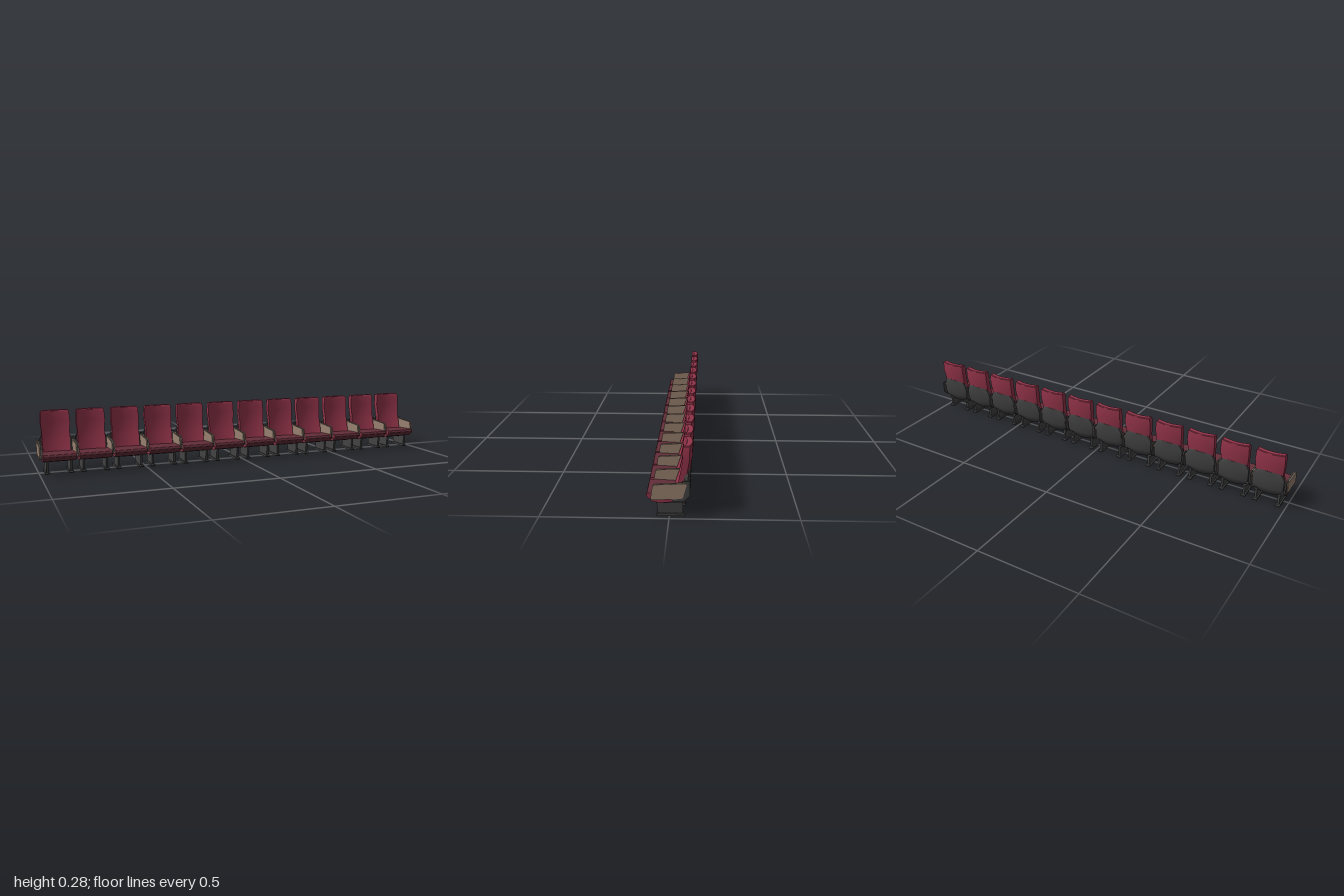
import * as THREE from 'three';
import { toCreasedNormals } from 'three/addons/utils/BufferGeometryUtils.js';

const SEATS = 12, PITCH = 0.1655;

const mat = (name, color, extra = {}) => {
  const m = new THREE.MeshStandardMaterial({ color, ...extra });
  m.name = name;
  return m;
};

// Side profile of [z, y] points, rounded by r, extruded along x about x = 0
function sideExtrude(points, width, r = 0) {
  const pts = points.map(p => new THREE.Vector2(...p));
  const shape = new THREE.Shape();
  pts.forEach((p, i) => {
    const prev = pts[(i + pts.length - 1) % pts.length], next = pts[(i + 1) % pts.length];
    const a = p.clone().add(prev.clone().sub(p).setLength(r));
    const b = p.clone().add(next.clone().sub(p).setLength(r));
    if (i === 0) shape.moveTo(a.x, a.y); else shape.lineTo(a.x, a.y);
    if (r > 0) shape.quadraticCurveTo(p.x, p.y, b.x, b.y);
  });
  shape.closePath();
  const g = new THREE.ExtrudeGeometry(shape, { depth: width, bevelEnabled: false, curveSegments: 4 });
  g.translate(0, 0, -width / 2);
  g.rotateY(-Math.PI / 2);
  return g;
}

// Bowed slab from rows of [y, halfWidth, frontZ, backZ] at the edges; middle bows to -z
function bowedSlab(rows, bow, n = 8) {
  const pos = [], idx = [], ring = 2 * (n + 1);
  rows.forEach(([y, w, zf, zb]) => {
    for (let i = 0; i < ring; i++) {
      const front = i <= n;
      const t = front ? -1 + 2 * i / n : 1 - 2 * (i - n - 1) / n;
      pos.push(t * w, y, (front ? zf : zb) - bow * (1 - t * t));
    }
  });
  for (let k = 0; k < rows.length - 1; k++) {
    for (let i = 0; i < ring; i++) {
      const j = (i + 1) % ring, a = k * ring + i, b = k * ring + j;
      idx.push(a, b, b + ring, a, b + ring, a + ring);
    }
  }
  // bottom and top caps
  const top = (rows.length - 1) * ring;
  for (let i = 0; i < n; i++) {
    const f0 = i, f1 = i + 1, b0 = ring - 1 - i, b1 = ring - 2 - i;
    idx.push(f0, b0, b1, f0, b1, f1);
    idx.push(top + f0, top + f1, top + b1, top + f0, top + b1, top + b0);
  }
  const g = new THREE.BufferGeometry();
  g.setAttribute('position', new THREE.Float32BufferAttribute(pos, 3));
  g.setIndex(idx);
  return toCreasedNormals(g, 0.5);
}

export function createModel() {
  const red = mat('red upholstery', 0x94344a);
  const darkRed = mat('dark red cushion', 0x632e39);
  const grey = mat('charcoal plastic', 0x424242);
  const tan = mat('tan wood', 0x98806f);

  const geo = {
    backrest: bowedSlab([
      [0.085, 0.062, -0.015, -0.050],
      [0.140, 0.066, -0.034, -0.062],
      [0.175, 0.064, -0.042, -0.068],
      [0.228, 0.068, -0.051, -0.077],
      [0.270, 0.066, -0.051, -0.078],
      [0.279, 0.064, -0.053, -0.078],
      [0.282, 0.060, -0.056, -0.076],
    ], 0.012),
    shell: bowedSlab([
      [0.055, 0.045, -0.035, -0.047],
      [0.075, 0.066, -0.040, -0.061],
      [0.095, 0.073, -0.046, -0.070],
      [0.150, 0.073, -0.056, -0.072],
      [0.172, 0.062, -0.060, -0.073],
      [0.185, 0.046, -0.064, -0.073],
    ], 0.010),
    cushion: sideExtrude([
      [0.089, 0.086], [0.084, 0.098], [0.068, 0.098], [-0.045, 0.092],
      [-0.045, 0.066], [0.030, 0.058], [0.062, 0.063],
    ], 0.15, 0.005),
    pan: sideExtrude([[0.035, 0.061], [-0.050, 0.070], [-0.050, 0.056], [0.020, 0.053]], 0.13),
    leg: sideExtrude([[0.050, 0.062], [-0.052, 0.068], [-0.052, 0.008], [0.044, 0.008]], 0.010),
    foot: sideExtrude([[0.045, 0.010], [-0.055, 0.010], [-0.060, 0.005], [-0.060, 0], [0.050, 0], [0.050, 0.005]], 0.022),
    armCore: sideExtrude([
      [0.066, 0.078], [0.058, 0.134], [-0.045, 0.140], [-0.052, 0.150], [-0.079, 0.150],
      [-0.080, 0.092], [-0.055, 0.067], [-0.018, 0.067], [-0.010, 0.076],
    ], 0.007, 0.004),
    armPanel: sideExtrude([
      [0.071, 0.074], [0.062, 0.136], [-0.069, 0.143], [-0.052, 0.081],
    ], 0.0036, 0.010),
    hinge: new THREE.BoxGeometry(0.148, 0.016, 0.022),
  };

  const model = new THREE.Group();
  model.name = 'seatRow';
  const add = (parent, name, geometry, material, x = 0, y = 0, z = 0) => {
    const m = new THREE.Mesh(geometry, material);
    m.name = name;
    m.position.set(x, y, z);
    parent.add(m);
  };

  // Seats
  for (let i = 0; i < SEATS; i++) {
    const seat = new THREE.Group();
    seat.name = 'seat';
    seat.position.x = (i - (SEATS - 1) / 2) * PITCH;
    add(seat, 'backrest', geo.backrest, red);
    add(seat, 'backShell', geo.shell, grey);
    add(seat, 'cushion', geo.cushion, [red, darkRed]);
    add(seat, 'seatPan', geo.pan, grey);
    add(seat, 'hingeBar', geo.hinge, grey, 0, 0.08, -0.05);
    for (const s of [-1, 1]) {
      add(seat, 'leg', geo.leg, grey, s * 0.054);
      add(seat, 'foot', geo.foot, grey, s * 0.054);
    }
    model.add(seat);
  }

  // Armrests, one at each end and one between each pair of seats
  for (let i = 0; i <= SEATS; i++) {
    const arm = new THREE.Group();
    arm.name = 'armrest';
    arm.position.x = (i - SEATS / 2) * PITCH;
    add(arm, 'armCore', geo.armCore, grey);
    for (const s of [-1, 1]) add(arm, 'armPanel', geo.armPanel, tan, s * 0.0052);
    model.add(arm);
  }
  return model;
}
